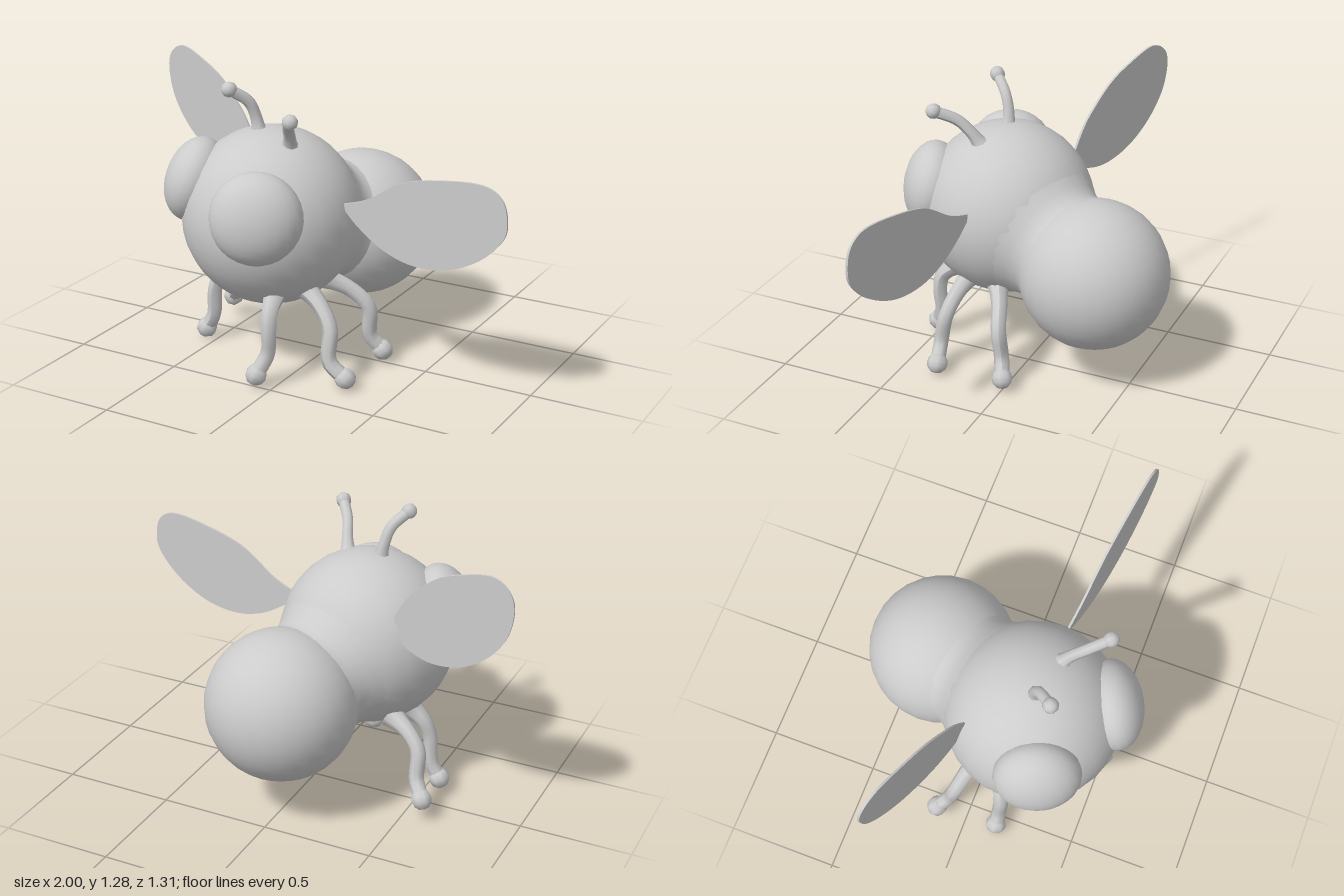
import * as THREE from 'three';

const mat = new THREE.MeshStandardMaterial({ color: 0xcccccc });
const thinMat = new THREE.MeshStandardMaterial({ color: 0xcccccc, side: THREE.DoubleSide });
const V = (a) => new THREE.Vector3(...a);

function add(parent, name, geometry, material = mat) {
  const mesh = new THREE.Mesh(geometry, material);
  mesh.name = name;
  parent.add(mesh);
  return mesh;
}

function ball(parent, name, center, radius, w = 28, h = 20) {
  const mesh = add(parent, name, new THREE.SphereGeometry(radius, w, h));
  mesh.position.set(...center);
  return mesh;
}

// Flattened dome facing along the given normal
function eye(parent, name, center, normal, radius, depth) {
  const mesh = ball(parent, name, center, 1, 24, 16);
  mesh.scale.set(radius, radius, depth);
  mesh.quaternion.setFromUnitVectors(new THREE.Vector3(0, 0, 1), V(normal).normalize());
}

// Bent tube that flares where it leaves the body and ends in a knob
function limb(parent, name, points, radius, knob) {
  const group = new THREE.Group();
  group.name = name;
  parent.add(group);
  const pts = points.map(V);
  const curve = new THREE.CatmullRomCurve3(pts, false, 'centripetal');
  const segs = 16, sides = 8;
  const geo = new THREE.TubeGeometry(curve, segs, radius, sides);
  const pos = geo.attributes.position;
  const p = new THREE.Vector3();
  for (let i = 0; i <= segs; i++) {
    const c = curve.getPointAt(i / segs);
    const k = 1 + 0.7 * (1 - i / segs) ** 8;
    for (let j = 0; j <= sides; j++) {
      const n = i * (sides + 1) + j;
      p.fromBufferAttribute(pos, n).sub(c).multiplyScalar(k).add(c);
      pos.setXYZ(n, p.x, p.y, p.z);
    }
  }
  geo.computeVertexNormals();
  add(group, name + 'Tube', geo);
  const end = ball(group, name + 'Knob', points[points.length - 1], knob, 8, 6);
  end.quaternion.setFromUnitVectors(new THREE.Vector3(0, 1, 0), curve.getTangentAt(1));
}

// Thin leaf outline, sheared in z so that it sweeps away from the body
function wing(parent, name, outline, z0, slope) {
  const shape = new THREE.Shape();
  const [x0, y0] = outline[0];
  shape.moveTo(x0, y0);
  shape.splineThru([...outline.slice(1), outline[0]].map(([x, y]) => new THREE.Vector2(x, y)));
  const geo = new THREE.ExtrudeGeometry(shape, { depth: 0.01, bevelEnabled: false, curveSegments: 36 });
  const pos = geo.attributes.position;
  for (let i = 0; i < pos.count; i++) {
    pos.setZ(i, pos.getZ(i) - 0.005 + z0 + slope * (pos.getX(i) - x0));
  }
  geo.computeVertexNormals();
  add(parent, name, geo, thinMat);
}

export function createModel() {
  const model = new THREE.Group();
  model.name = 'flyingInsect';

  // Round body and abdomen
  const bodyC = [-0.175, 0.68, 0.18], tailC = [0.005, 0.525, -0.32];
  ball(model, 'body', bodyC, 0.395);
  ball(model, 'abdomen', tailC, 0.335);

  // Waist filling the crease between both balls
  const axis = V(tailC).sub(V(bodyC)).normalize();
  const waist = add(model, 'waist', new THREE.LatheGeometry(
    [[0.322, 0.225], [0.29, 0.28], [0.272, 0.33], [0.276, 0.365]].map(([r, t]) => new THREE.Vector2(r, t)), 28), thinMat);
  waist.position.set(...bodyC);
  waist.quaternion.setFromUnitVectors(new THREE.Vector3(0, 1, 0), axis);

  // Bulging eyes
  eye(model, 'leftEye', [-0.055, 0.775, 0.505], [0.42, 0.15, 0.9], 0.2, 0.13);
  eye(model, 'rightEye', [-0.485, 0.83, 0.31], [-0.88, 0.3, 0.36], 0.19, 0.13);

  // Antennae
  limb(model, 'rightAntenna', [[-0.22, 1.04, 0.2], [-0.235, 1.12, 0.205], [-0.255, 1.19, 0.23], [-0.31, 1.25, 0.295]], 0.025, 0.035);
  limb(model, 'leftAntenna', [[-0.04, 1.02, 0.25], [-0.02, 1.08, 0.285], [0.005, 1.14, 0.34], [0.065, 1.19, 0.425]], 0.025, 0.035);

  // Legs: hip, knee, ankle, foot
  const legs = {
    frontLeg: [[-0.05, 0.4, 0.37], [-0.03, 0.33, 0.45], [-0.025, 0.25, 0.465], [-0.035, 0.15, 0.46], [-0.07, 0.058, 0.5]],
    leftMiddleLeg: [[0.04, 0.41, 0.27], [0.13, 0.35, 0.295], [0.195, 0.26, 0.32], [0.205, 0.12, 0.345], [0.275, 0.05, 0.33]],
    leftRearLeg: [[0.05, 0.41, 0.13], [0.16, 0.35, 0.07], [0.235, 0.27, 0.04], [0.235, 0.13, 0.025], [0.285, 0.06, 0.0]],
    rightMiddleLeg: [[-0.41, 0.38, 0.14], [-0.47, 0.33, 0.14], [-0.5, 0.26, 0.15], [-0.515, 0.12, 0.145], [-0.555, 0.048, 0.145]],
    rightRearLeg: [[-0.38, 0.4, 0.0], [-0.47, 0.36, -0.035], [-0.53, 0.29, -0.06], [-0.54, 0.16, -0.09], [-0.585, 0.1, -0.135]],
  };
  for (const [name, points] of Object.entries(legs)) limb(model, name, points, 0.034, 0.048);

  // Wings, starting at the root inside the body
  wing(model, 'leftWing', [[0.18, 0.79], [0.32, 0.84], [0.5, 0.95], [0.7, 1.0], [0.88, 1.018], [0.97, 0.98], [1.0, 0.9],
    [0.985, 0.81], [0.88, 0.7], [0.72, 0.62], [0.55, 0.6], [0.4, 0.635], [0.27, 0.71]], 0.2, 0.16);
  wing(model, 'rightWing', [[-0.37, 0.85], [-0.45, 1.0], [-0.53, 1.09], [-0.62, 1.165], [-0.72, 1.215], [-0.88, 1.265], [-0.97, 1.23],
    [-1.0, 1.15], [-0.97, 1.02], [-0.88, 0.9], [-0.75, 0.81], [-0.6, 0.77], [-0.47, 0.79]], -0.04, 0.35);

  return model;
}
